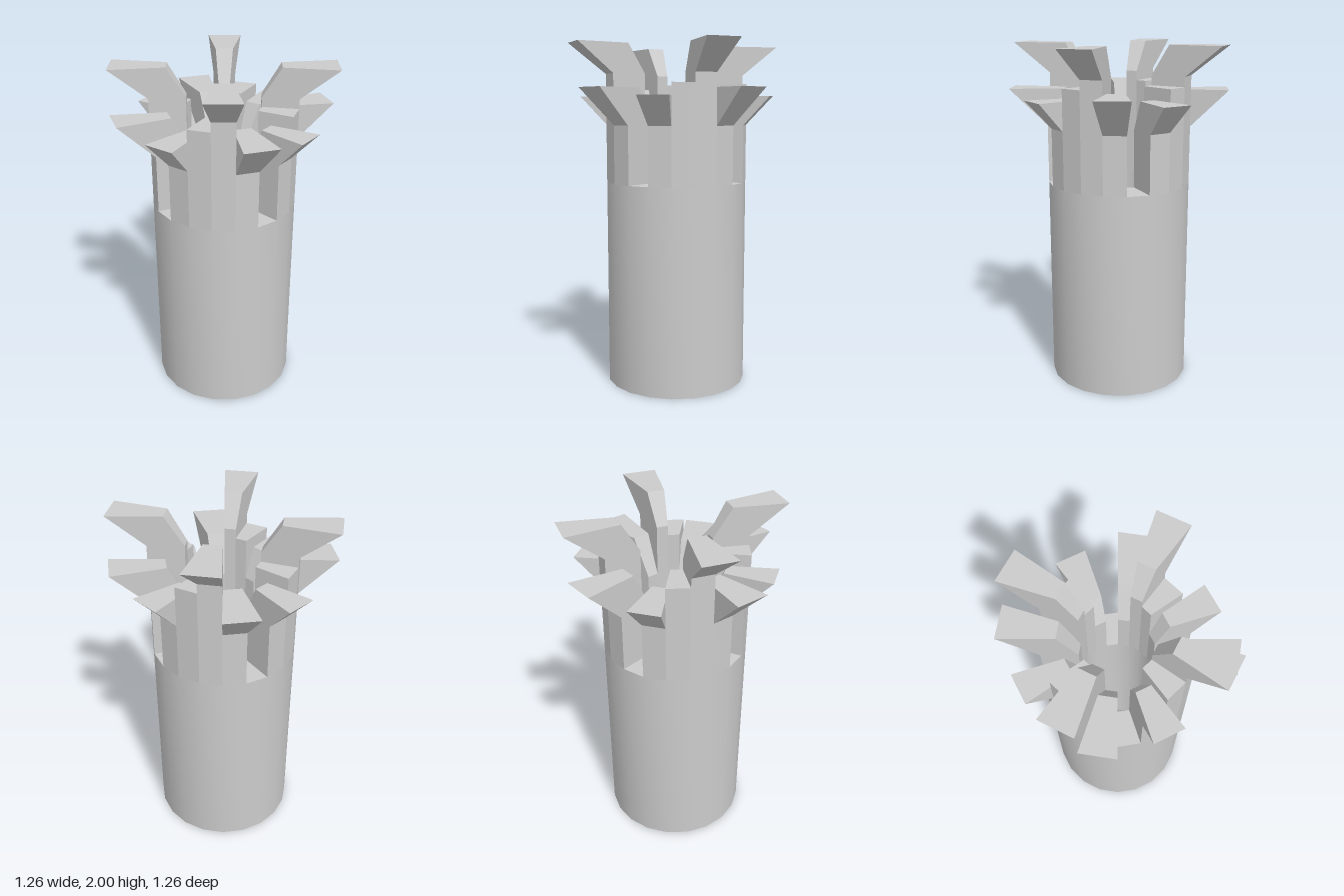
import * as THREE from 'three';
import { toCreasedNormals } from 'three/addons/utils/BufferGeometryUtils.js';

const INNER = 0.209, OUTER = 0.415, SHOULDER = 1.207;
const STEP = Math.PI / 10; // 20 sides around the tube

// Wedge of the tube wall between two angles, lofted through [height, radius scale] levels.
function wedgeGeometry(start, levels) {
  const end = start + STEP;
  const rings = levels.map(([y, s]) =>
    [[INNER, start], [OUTER, start], [OUTER, end], [INNER, end]].map(
      ([r, a]) => [r * s * Math.cos(a), y, r * s * Math.sin(a)]));
  const positions = [];
  const quad = (a, b, c, d) => positions.push(...a, ...b, ...c, ...a, ...c, ...d);
  for (let k = 0; k < rings.length - 1; k++) {
    const lo = rings[k], hi = rings[k + 1];
    for (let i = 0; i < 4; i++) {
      const j = (i + 1) % 4;
      quad(lo[j], lo[i], hi[i], hi[j]);
    }
  }
  const top = rings[rings.length - 1];
  quad(top[3], top[2], top[1], top[0]);
  const geometry = new THREE.BufferGeometry();
  geometry.setAttribute('position', new THREE.Float32BufferAttribute(positions, 3));
  geometry.computeVertexNormals();
  return geometry;
}

export function createModel() {
  const model = new THREE.Group();
  model.name = 'crownedTube';
  const smooth = new THREE.MeshStandardMaterial({ color: 0xcccccc });
  const faceted = new THREE.MeshStandardMaterial({ color: 0xcccccc, flatShading: true });

  // Hollow tube, smooth around, sharp at the rims
  const profile = [[INNER, 0], [OUTER, 0], [OUTER, SHOULDER], [INNER, SHOULDER], [INNER, 0]]
    .map(([x, y]) => new THREE.Vector2(x, y));
  const tube = new THREE.Mesh(
    toCreasedNormals(new THREE.LatheGeometry(profile, 20), 0.5), smooth);
  tube.name = 'tube';
  model.add(tube);

  // One quarter of the crown; the fifth side of each quarter is an open slot
  const teeth = [
    { name: 'lowWideFlare', levels: [[SHOULDER, 1], [1.54, 1], [1.75, 1.515]] },
    { name: 'tallFlare', levels: [[SHOULDER, 1], [1.83, 1], [2, 1.515]] },
    { name: 'straightTooth', levels: [[SHOULDER, 1], [1.775, 1]] },
    { name: 'lowNarrowFlare', levels: [[SHOULDER, 1], [1.54, 1], [1.705, 1.37]] },
  ];
  for (let q = 0; q < 4; q++) {
    const quarter = new THREE.Group();
    quarter.name = 'crownQuarter' + (q + 1);
    teeth.forEach(({ name, levels }, i) => {
      const tooth = new THREE.Mesh(wedgeGeometry((q * 5 + i) * STEP, levels), faceted);
      tooth.name = name;
      quarter.add(tooth);
    });
    model.add(quarter);
  }
  return model;
}
